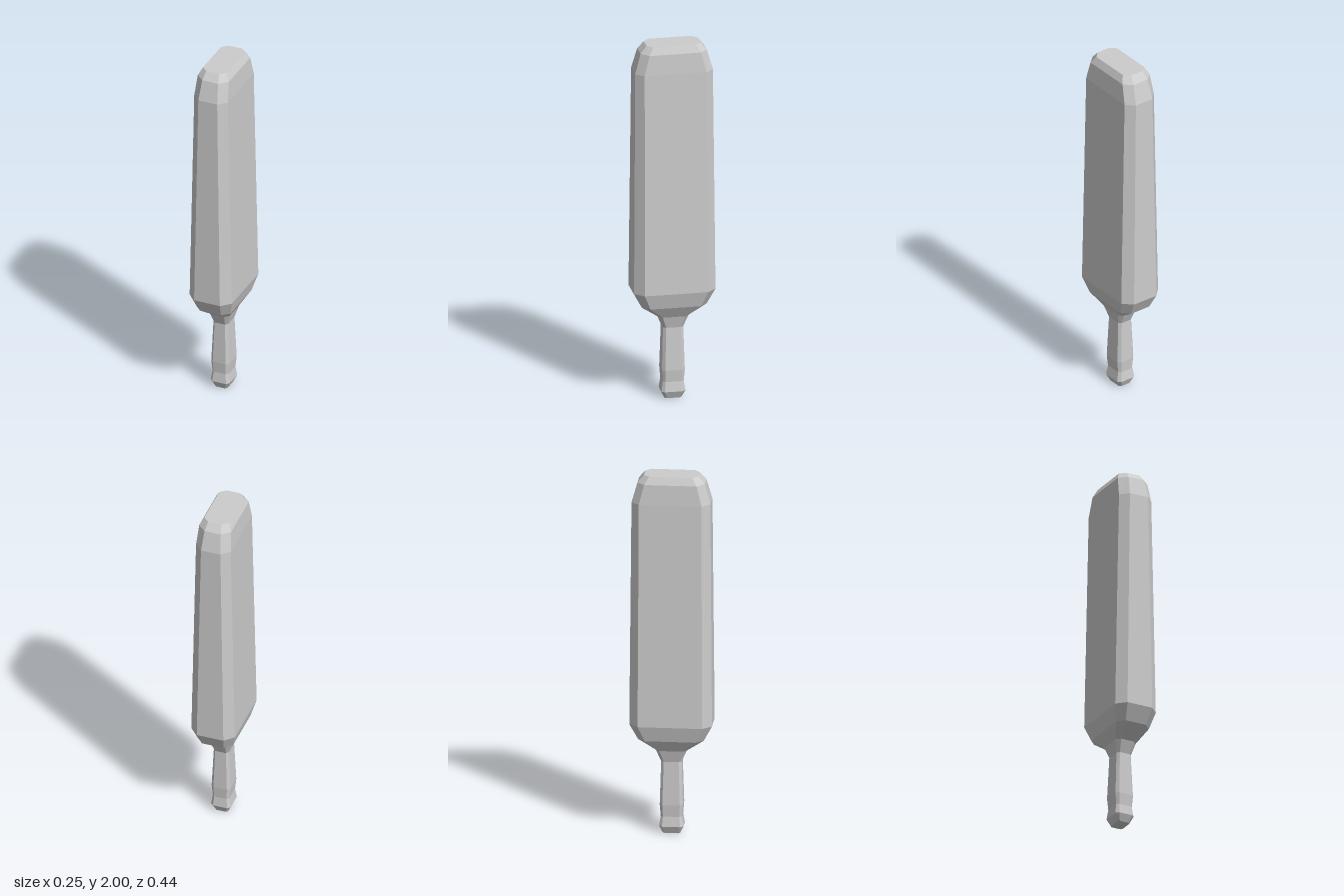
import * as THREE from 'three';

// Octagonal cross-sections: [y, half width x, half depth z, flat half x, flat half z]
const neck = [0.40, 0.043, 0.055, 0.03, 0.04];
const handleRows = [
  [0, 0.036, 0.046, 0.026, 0.036],
  [0.04, 0.055, 0.065, 0.04, 0.049],
  [0.095, 0.047, 0.057, 0.035, 0.044],
  [0.16, 0.053, 0.062, 0.038, 0.047],
  neck,
];
const bladeRows = [
  neck,
  [0.465, 0.061, 0.083, 0.038, 0.062],
  [0.53, 0.1, 0.176, 0.061, 0.137],
  [0.615, 0.123, 0.221, 0.075, 0.172],
  [1.85, 0.098, 0.211, 0.055, 0.168],
  [1.96, 0.09, 0.18, 0.046, 0.14],
  [2, 0.07, 0.146, 0.038, 0.116],
];

// Skin the sections with flat facets, closing the chosen end
function loft(rows, capBottom, capTop) {
  const pos = [];
  const tri = (...pts) => pts.forEach((p) => pos.push(...p));
  const rings = rows.map(([y, hx, hz, cx, cz]) => [
    [hx, y, -cz], [hx, y, cz], [cx, y, hz], [-cx, y, hz],
    [-hx, y, cz], [-hx, y, -cz], [-cx, y, -hz], [cx, y, -hz],
  ]);
  const last = rings.length - 1;
  for (let j = 0; j < 8; j++) {
    const k = (j + 1) % 8;
    for (let i = 0; i < last; i++) {
      const lo = rings[i], hi = rings[i + 1];
      tri(lo[j], hi[j], lo[k]);
      tri(lo[k], hi[j], hi[k]);
    }
    if (capBottom) tri([0, rows[0][0], 0], rings[0][j], rings[0][k]);
    if (capTop) tri([0, rows[last][0], 0], rings[last][k], rings[last][j]);
  }
  const geo = new THREE.BufferGeometry();
  geo.setAttribute('position', new THREE.Float32BufferAttribute(pos, 3));
  geo.computeVertexNormals();
  return geo;
}

export function createModel() {
  const group = new THREE.Group();
  group.name = 'paddle';
  const grey = new THREE.MeshStandardMaterial({ color: 0xcccccc });
  grey.name = 'light grey';

  // Slim grip with a flared pommel
  const handle = new THREE.Mesh(loft(handleRows, true, false), grey);
  handle.name = 'handle';

  // Broad bevelled blade tapering towards the top
  const blade = new THREE.Mesh(loft(bladeRows, false, true), grey);
  blade.name = 'blade';

  group.add(handle, blade);
  return group;
}
